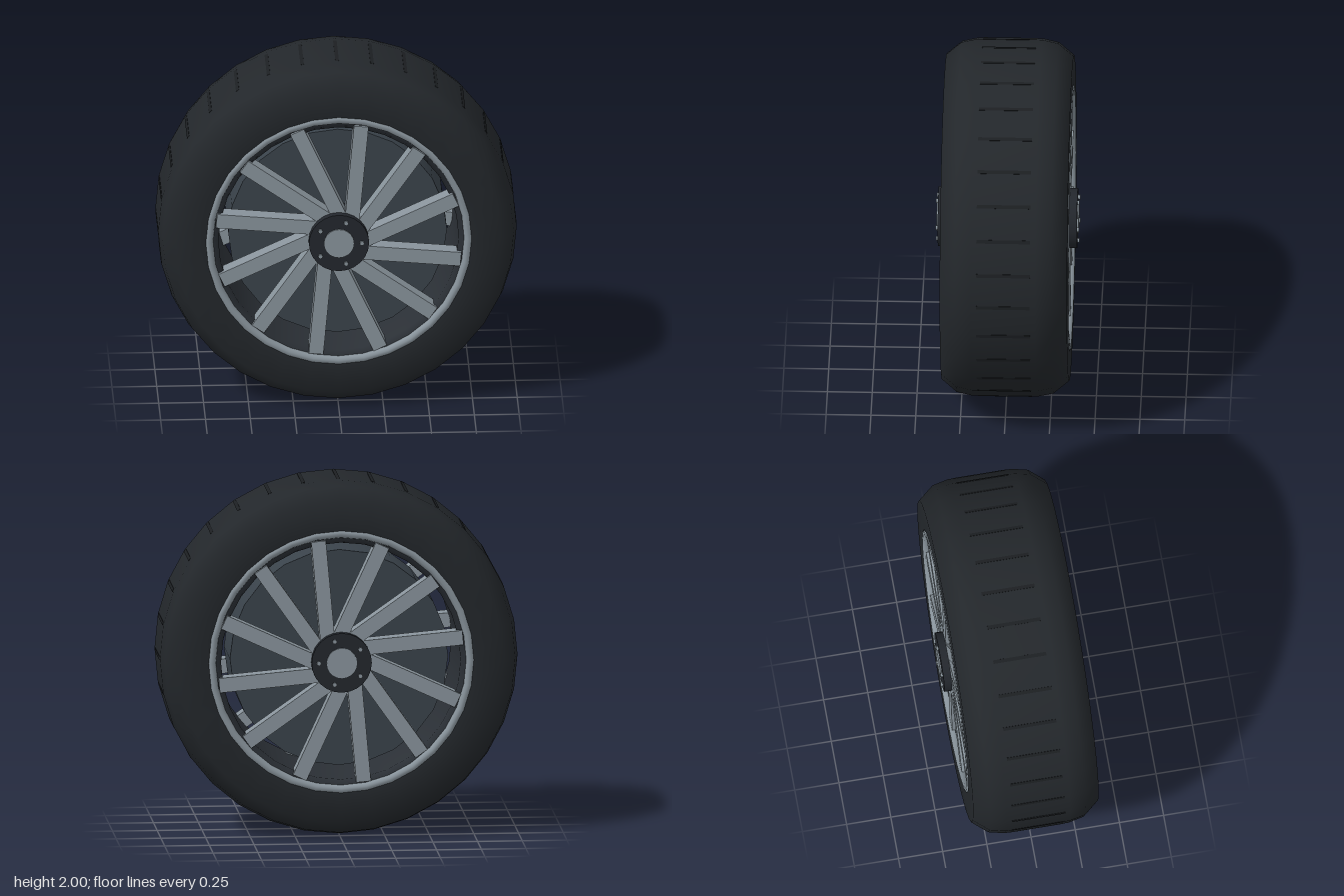
import * as THREE from 'three';

const SEG = 32;
const mat = (color, extra = {}) => new THREE.MeshStandardMaterial({ color, ...extra });

export function createModel() {
  const wheel = new THREE.Group();
  wheel.name = 'wheel';
  wheel.position.y = 1; // axle height, axle runs along z

  const rubber = mat(0x23272b, { side: THREE.DoubleSide });
  const groove = mat(0x1c1f22);
  const alloy = mat(0x89949c);
  const barrelDark = mat(0x2b3036, { side: THREE.DoubleSide });
  const discDark = mat(0x3a434b);
  const hubDark = mat(0x23272d);

  const add = (parent, name, geo, material) => {
    const m = new THREE.Mesh(geo, material);
    m.name = name;
    parent.add(m);
    return m;
  };
  // Closed ring turned from [radius, z] points, axis along z
  const turned = (pts, seg) =>
    new THREE.LatheGeometry(pts.map(([r, z]) => new THREE.Vector2(r, z)), seg).rotateX(Math.PI / 2);
  const cylinder = (r, z0, z1, seg) =>
    new THREE.CylinderGeometry(r, r, z1 - z0, seg).rotateX(Math.PI / 2).translate(0, 0, (z0 + z1) / 2);

  // Tyre: bevelled shoulders and flat side walls
  const half = [[0.71, 0.33], [0.745, 0.355], [0.91, 0.355], [0.98, 0.27], [1, 0.18]];
  const profile = [...half.map(([r, z]) => [r, -z]), ...half.slice().reverse()];
  add(wheel, 'tyre', turned(profile, SEG), rubber);

  // Fine tread bars across the running surface
  const treads = new THREE.Group();
  treads.name = 'treadBars';
  wheel.add(treads);
  for (let i = 0; i < SEG; i++) {
    const bar = add(treads, 'treadBar', new THREE.BoxGeometry(0.02, 0.02, 0.3).translate(0, 0.991, 0), groove);
    bar.rotation.z = (i / SEG) * Math.PI * 2;
  }

  // Rim barrel, open in the middle
  add(wheel, 'rimBarrel', turned(
    [[0.71, -0.33], [0.67, -0.32], [0.67, 0.32], [0.71, 0.33]], SEG), barrelDark);

  // Central disc with a gap to the barrel
  add(wheel, 'centreDisc', cylinder(0.61, -0.2, 0.2, 24), discDark);

  // Both faces carry the same rim lip, spokes and hub, mirrored in z
  for (const s of [1, -1]) {
    const face = new THREE.Group();
    face.name = s > 0 ? 'frontFace' : 'backFace';
    wheel.add(face);
    const place = (z0, z1) => (s > 0 ? [z0, z1] : [-z1, -z0]);

    add(face, 'rimLip', new THREE.TorusGeometry(0.725, 0.025, 10, SEG).translate(0, 0, s * 0.335), alloy);

    // Twelve straight spokes set off the axle centre line
    for (let i = 0; i < 12; i++) {
      const geo = new THREE.BoxGeometry(0.62, 0.082, 0.1).translate(0.38, -0.064, s * 0.295);
      add(face, 'spoke', geo, alloy).rotation.z = THREE.MathUtils.degToRad(-5.2 + i * 30);
    }

    add(face, 'hub', cylinder(0.168, ...place(0.18, 0.388), 24), hubDark);
    add(face, 'hubCap', cylinder(0.085, ...place(0.38, 0.396), 20), alloy);
    for (let i = 0; i < 5; i++) {
      const a = (i / 5) * Math.PI * 2;
      add(face, 'bolt', cylinder(0.013, ...place(0.38, 0.4), 8)
        .translate(Math.cos(a) * 0.128, Math.sin(a) * 0.128, 0), alloy);
    }
  }

  const model = new THREE.Group();
  model.name = 'wheelModel';
  model.add(wheel);
  return model;
}
